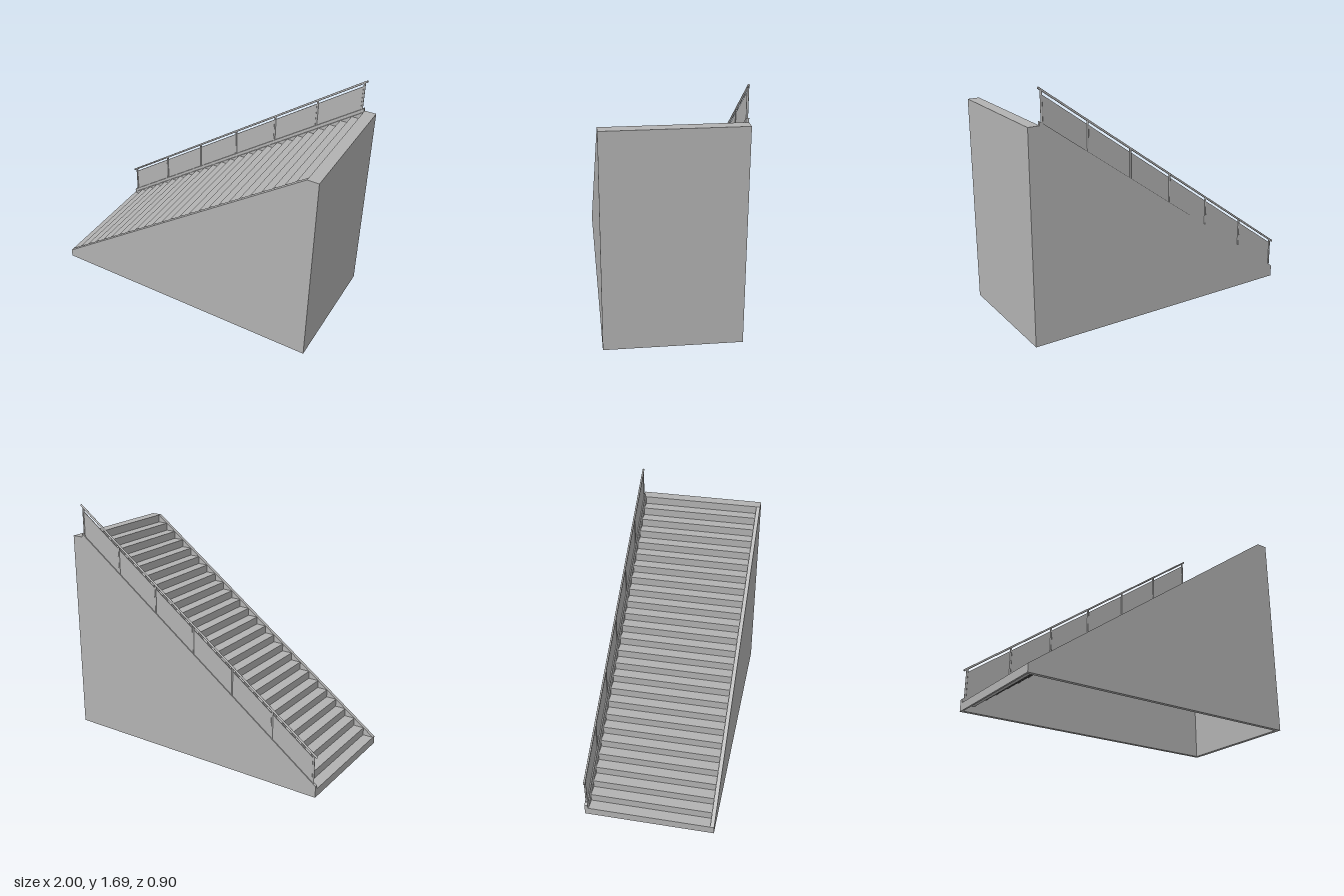
import * as THREE from 'three';

const TREADS = 25, X0 = -1, X1 = 0.92, TOP = 1.455, HALF = 0.45, WALL = 0.027, SHELL = 0.012;
const RUN = (X1 - X0) / TREADS, RISE = TOP / (TREADS + 1), SLOPE = RISE / RUN;
const RAIL_Z = -0.44;

// height of a line parallel to the flight, h above the floor at the foot
const along = (x, h) => h + SLOPE * (x - X0);

export function createModel() {
  const group = new THREE.Group();
  const grey = new THREE.MeshStandardMaterial({ color: 0xb2b2b2 });
  grey.name = 'concrete grey';

  const add = (name, geometry) => {
    const mesh = new THREE.Mesh(geometry, grey);
    mesh.name = name;
    group.add(mesh);
    return mesh;
  };
  // side outline extruded across z, centred on z
  const slab = (name, points, depth, z) => {
    const shape = new THREE.Shape(points.map(([x, y]) => new THREE.Vector2(x, y)));
    const geometry = new THREE.ExtrudeGeometry(shape, { depth, bevelEnabled: false });
    return add(name, geometry.translate(0, 0, z - depth / 2));
  };
  const slopedBar = (name, xa, xb, low, high, depth) => slab(name, [
    [xa, along(xa, low)], [xb, along(xb, low)], [xb, along(xb, high)], [xa, along(xa, high)],
  ], depth, RAIL_Z);

  // side walls, level with the step nosings
  for (const side of [1, -1]) {
    slab(side > 0 ? 'frontWall' : 'backWall',
      [[X0, 0], [1, 0], [1, TOP], [X1, TOP], [X0, RISE]], WALL, side * (HALF - WALL / 2));
  }

  // folded stair shell with landing and end wall, hollow beneath
  const upper = [[X0, 0]], lower = [[X0 + SHELL, 0]];
  for (let k = 0; k <= TREADS; k++) {
    const x = X0 + k * RUN, y = (k + 1) * RISE;
    const next = k < TREADS ? x + RUN : 1;
    upper.push([x, y], [next, y]);
    lower.push([x + SHELL, y - SHELL], [k < TREADS ? next + SHELL : 1 - WALL, y - SHELL]);
  }
  upper.push([1, 0]);
  lower.push([1 - WALL, 0]);
  slab('stairFlight', [...upper, ...lower.reverse()], 2 * (HALF - WALL), 0);

  // railing: base rail, handrail, posts and infill panels
  const BASE = 0.082, HAND = 0.283;
  slopedBar('baseRail', X0, X1, RISE, BASE, 0.02);

  const start = new THREE.Vector3(X0, HAND, RAIL_Z);
  const end = new THREE.Vector3(X1, along(X1, HAND), RAIL_Z);
  const handrail = add('handrail', new THREE.CylinderGeometry(0.007, 0.007, start.distanceTo(end), 12));
  handrail.position.lerpVectors(start, end, 0.5);
  handrail.rotation.z = Math.atan(SLOPE) - Math.PI / 2;

  const posts = 7, first = -0.976, spacing = 0.3128;
  for (let i = 0; i < posts; i++) {
    const x = first + i * spacing;
    const bottom = along(x, BASE - 0.01), top = along(x, HAND);
    add('post', new THREE.CylinderGeometry(0.007, 0.007, top - bottom, 12))
      .position.set(x, (bottom + top) / 2, RAIL_Z);
    if (i < posts - 1) slopedBar('panel', x + 0.005, x + spacing - 0.005, BASE, 0.257, 0.005);
  }
  return group;
}
